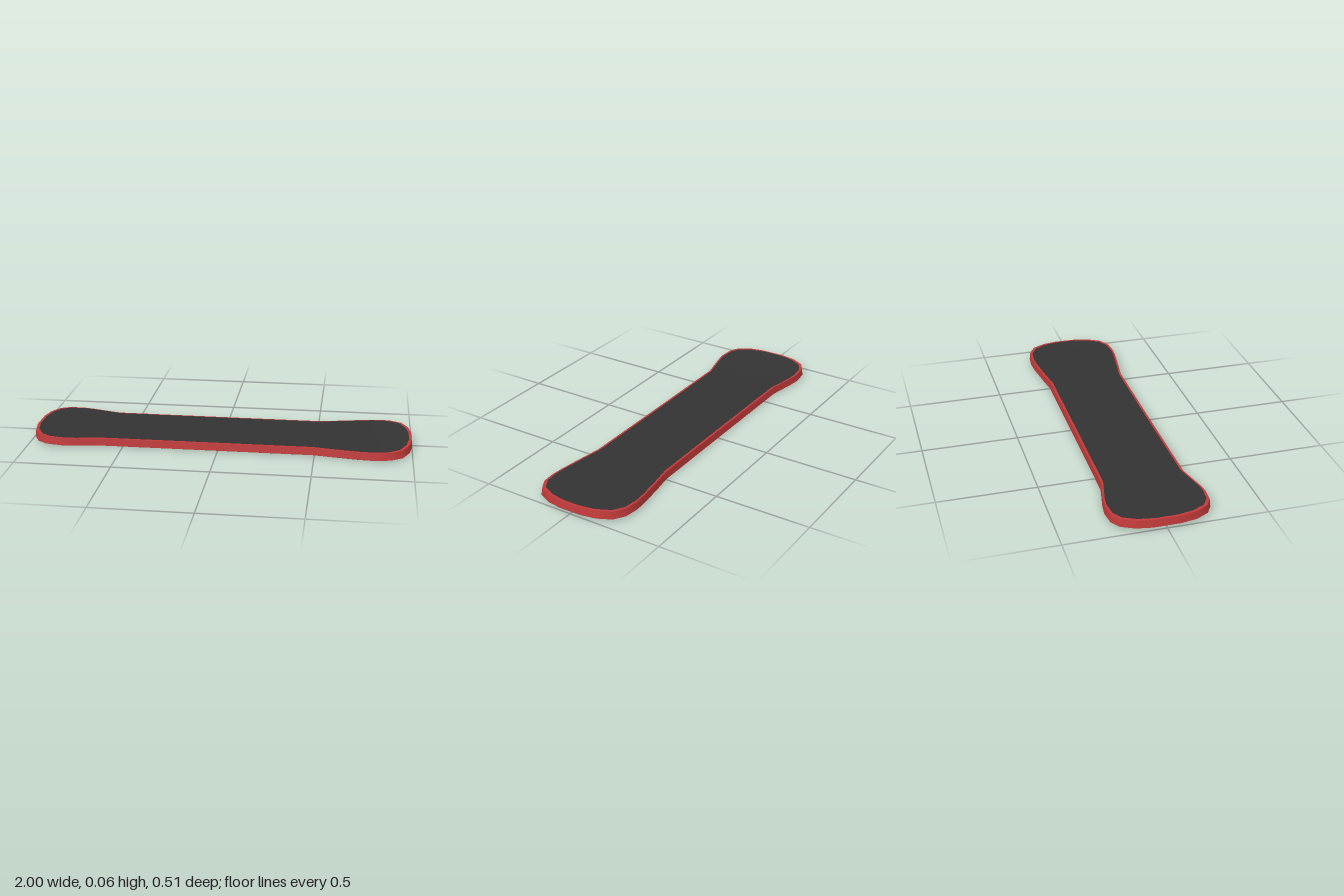
import * as THREE from 'three';
import { toCreasedNormals } from 'three/addons/utils/BufferGeometryUtils.js';

// Board outline: [x, half width] from the right tip to the left tip
const OUTLINE = [
  [-1, 0.07], [-0.985, 0.15], [-0.95, 0.215], [-0.9, 0.245], [-0.82, 0.253], [-0.76, 0.245], [-0.61, 0.213],
  [0, 0.211], [0.5, 0.211], [0.6, 0.227], [0.74, 0.247], [0.81, 0.253], [0.89, 0.245], [0.95, 0.21], [0.985, 0.14], [1, 0.06],
];

// Upturn of the two ends, with a faint twist at the +x end
function rise(x, z) {
  const left = Math.max(0, -x - 0.6) / 0.4;
  const right = Math.max(0, x - 0.55) / 0.45;
  return 0.013 * Math.pow(left, 1.1) + 0.011 * right * right - 0.013 * z * Math.min(1, right * 1.8);
}

// Closed slab lofted along the outline; insets shrink its lower and upper edges
function slab(name, color, yLow, yHigh, insetLow, insetHigh) {
  const positions = [];
  const index = [];
  OUTLINE.forEach(([x, w], i) => {
    for (const [side, y, inset] of [[-1, yLow, insetLow], [1, yLow, insetLow], [1, yHigh, insetHigh], [-1, yHigh, insetHigh]]) {
      const px = x * (1 - inset);
      const pz = side * (w - inset * 0.85);
      positions.push(px, y + rise(x, pz), pz);
    }
    if (i === 0) return;
    for (let k = 0; k < 4; k++) {
      const n = (k + 1) % 4;
      const a = (i - 1) * 4;
      const b = i * 4;
      index.push(a + k, b + k, a + n, b + k, b + n, a + n);
    }
  });
  // Tip faces
  const e = (OUTLINE.length - 1) * 4;
  index.push(0, 1, 2, 0, 2, 3, e, e + 2, e + 1, e, e + 3, e + 2);

  const geometry = new THREE.BufferGeometry();
  geometry.setAttribute('position', new THREE.Float32BufferAttribute(positions, 3));
  geometry.setIndex(index);
  const mesh = new THREE.Mesh(
    toCreasedNormals(geometry, Math.PI / 5),
    new THREE.MeshStandardMaterial({ color }),
  );
  mesh.name = name;
  return mesh;
}

export function createModel() {
  const board = new THREE.Group();
  board.name = 'board';
  board.add(
    slab('edgeCore', 0xc23a3a, 0.005, 0.044, 0, 0.004),
    slab('topSheet', 0x333333, 0.04, 0.0455, 0.018, 0.018),
    slab('baseSheet', 0x1c1c1c, 0.0035, 0.009, 0.004, 0.004),
  );
  return board;
}
